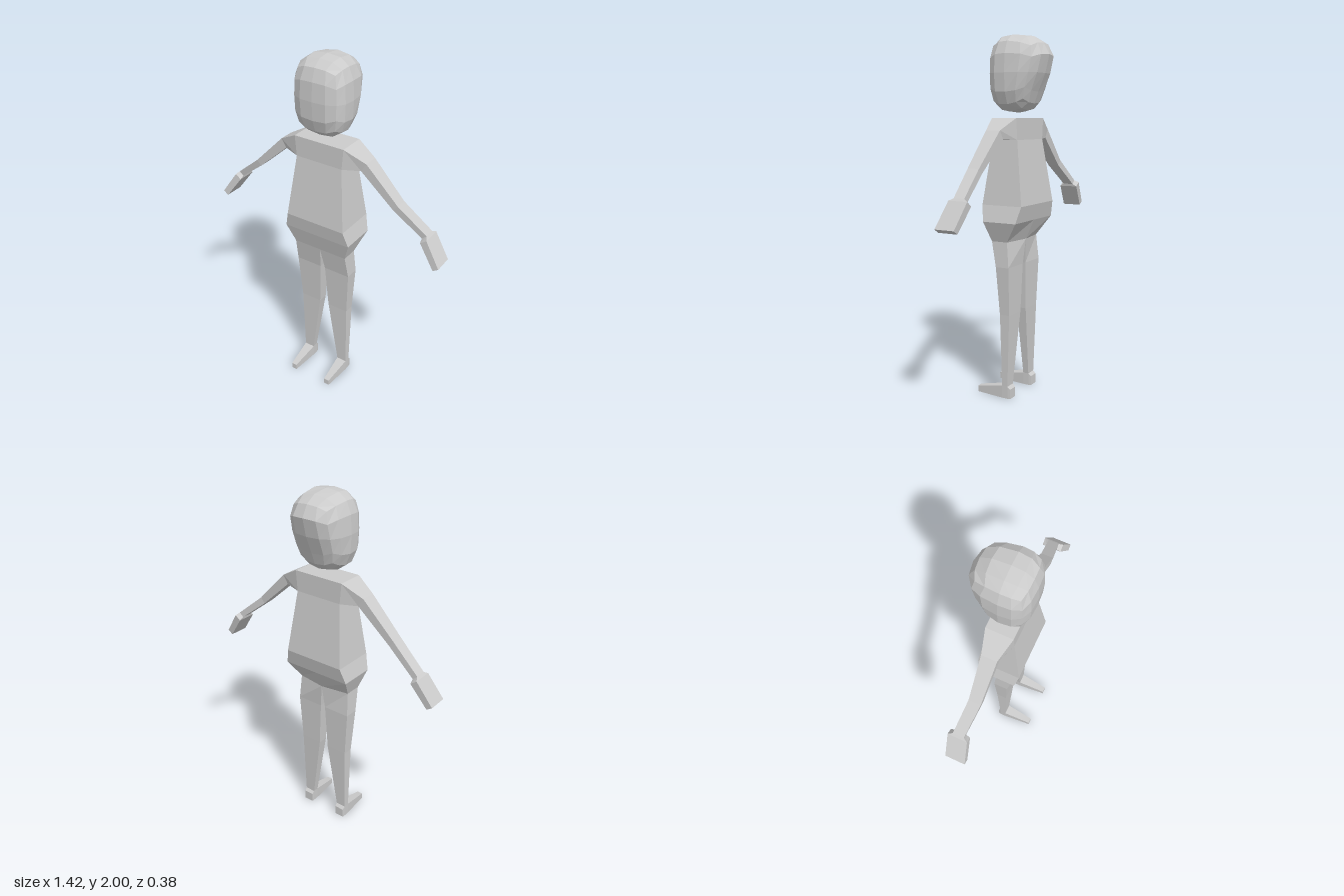
import * as THREE from 'three';

const material = new THREE.MeshStandardMaterial({ color: 0xcccccc, flatShading: true });

// Skins a list of four-point rings, capping both ends; mirror flips it across x.
function loft(name, rings, mirror = false) {
  const sections = mirror
    ? rings.map(r => r.map(([x, y, z]) => [-x, y, z]).reverse())
    : rings;
  const positions = [];
  const quad = (a, b, c, d) => positions.push(...a, ...b, ...c, ...a, ...c, ...d);
  for (let s = 0; s < sections.length - 1; s++) {
    const a = sections[s], b = sections[s + 1];
    for (let i = 0; i < 4; i++) {
      const j = (i + 1) % 4;
      quad(a[i], a[j], b[j], b[i]);
    }
  }
  quad(...[...sections[0]].reverse());
  quad(...sections[sections.length - 1]);
  const geometry = new THREE.BufferGeometry();
  geometry.setAttribute('position', new THREE.Float32BufferAttribute(positions, 3));
  geometry.computeVertexNormals();
  const mesh = new THREE.Mesh(geometry, material);
  mesh.name = name;
  return mesh;
}

// Horizontal ring; the back edge may sit deeper on the inner side.
const level = (y, x0, x1, z0, z1, z0Inner = z0) =>
  [[x1, y, z1], [x1, y, z0], [x0, y, z0Inner], [x0, y, z1]];

// Upright ring facing forward, for the foot.
const slice = (z, x0, x1, top) =>
  [[x1, 0, z], [x1, top, z], [x0, top, z], [x0, 0, z]];

// Ring across the arm, from a top point and a bottom point.
const armRing = (xt, yt, xb, yb, z0, z1) =>
  [[xt, yt, z1], [xb, yb, z1], [xb, yb, z0], [xt, yt, z0]];

// Rounded cube whose back swells towards the crown.
function createHead() {
  const geometry = new THREE.BoxGeometry(2, 2, 2, 4, 4, 4).toNonIndexed();
  const p = geometry.attributes.position;
  for (let i = 0; i < p.count; i++) {
    let [x, y, z] = [p.getX(i), p.getY(i), p.getZ(i)];
    const power = z < 0 ? 2.6 : 3;
    const norm = (Math.abs(x) ** power + Math.abs(y) ** power + Math.abs(z) ** power) ** (1 / power);
    x /= norm; y /= norm; z /= norm;
    const depth = z > 0 ? 0.137 : 0.162 + 0.075 * THREE.MathUtils.clamp(y, -0.48, 0.48);
    p.setXYZ(i, x * 0.157, 1.7925 + y * 0.2075, z * depth);
  }
  geometry.computeVertexNormals();
  const head = new THREE.Mesh(geometry, material);
  head.name = 'head';
  return head;
}

export function createModel() {
  const model = new THREE.Group();
  model.name = 'figure';
  model.add(createHead());

  // Torso from hips to shoulders
  model.add(loft('torso', [
    level(1.0, -0.205, 0.205, -0.095, 0.107),
    level(1.09, -0.18, 0.18, -0.117, 0.125),
    level(1.44, -0.14, 0.14, -0.07, 0.08),
    level(1.555, -0.15, 0.15, -0.07, 0.08),
  ]));

  for (const mirror of [false, true]) {
    const side = mirror ? 'right' : 'left';

    // Arm narrowing from the shoulder to the wrist
    model.add(loft(side + 'Arm', [
      armRing(0.15, 1.555, 0.14, 1.44, -0.07, 0.08),
      armRing(0.265, 1.492, 0.235, 1.445, -0.04, 0.045),
      armRing(0.45, 1.305, 0.425, 1.275, -0.03, 0.037),
      armRing(0.61, 1.172, 0.585, 1.15, -0.05, 0.012),
    ], mirror));

    // Mitten hand
    model.add(loft(side + 'Hand', [
      armRing(0.61, 1.172, 0.585, 1.15, -0.05, 0.012),
      armRing(0.622, 1.16, 0.588, 1.135, -0.075, 0.035),
      armRing(0.71, 1.03, 0.68, 1.01, -0.057, 0.055),
    ], mirror));

    // Leg with its half of the pelvis
    model.add(loft(side + 'Leg', [
      level(0.07, 0.09, 0.15, -0.012, 0.022),
      level(0.48, 0.03, 0.155, -0.027, 0.032),
      level(0.75, 0.015, 0.172, -0.033, 0.047),
      level(0.89, 0, 0.165, -0.02, 0.075, -0.045),
      level(1.0, 0, 0.205, -0.095, 0.107),
    ], mirror));

    // Foot from heel to toe
    model.add(loft(side + 'Foot', [
      slice(-0.028, 0.092, 0.148, 0.055),
      slice(-0.012, 0.09, 0.15, 0.07),
      slice(0.022, 0.09, 0.15, 0.07),
      slice(0.19, 0.104, 0.137, 0.035),
    ], mirror));
  }
  return model;
}
